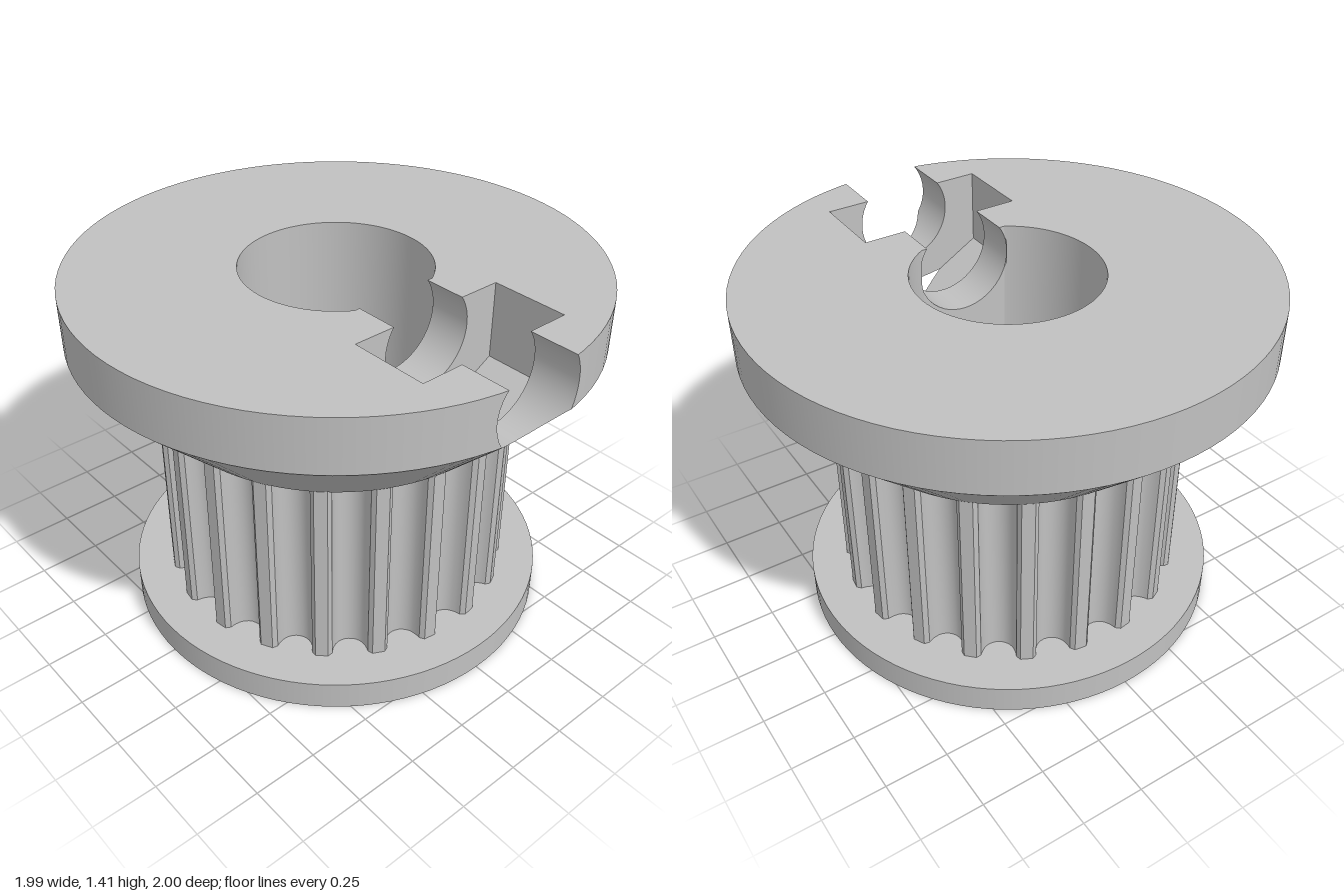
import * as THREE from 'three';
import { toCreasedNormals } from 'three/addons/utils/BufferGeometryUtils.js';

const SEG = 96, TOP = 1.41, RIM_Y = 1.2, HEAD_Y = 0.9, BASE_Y = 0.115;
const HEAD_R = 1, NECK_R = 0.695, TOOTH_R = 0.69, BASE_R = 0.835;
const BORE_R = 0.36, FLAT_X = 0.31, FLAT_A = Math.acos(FLAT_X / BORE_R);
const HOLE_R = 0.195, HOLE_Y = 1.3, HOLE_X = 0.305, HOLE_SEG = 48;
const NUT_X0 = 0.48, NUT_X1 = 0.79, NUT_FLAT = 0.33;

// Convex cutters as lists of planes [nx, ny, nz, d]; inside means n.p <= d
function prismPlanes(sides, apothem, x0, x1) {
  const planes = [[-1, 0, 0, -x0], [1, 0, 0, x1]];
  for (let i = 0; i < sides; i++) {
    const a = (i + (sides === 6 ? 0 : 0.5)) * 2 * Math.PI / sides;
    const ny = Math.sin(a), nz = Math.cos(a);
    planes.push([0, ny, nz, apothem + ny * HOLE_Y]);
  }
  return planes;
}
const channel = prismPlanes(HOLE_SEG, HOLE_R * Math.cos(Math.PI / HOLE_SEG), HOLE_X, 1.1);
const nut = prismPlanes(6, NUT_FLAT, NUT_X0, NUT_X1);

const headHull = [[0, 1, 0, TOP]];
for (let i = 0; i < SEG; i++) {
  const a = (i + 0.5) * 2 * Math.PI / SEG, k = Math.cos(Math.PI / SEG);
  const c = Math.cos(a), s = Math.sin(a);
  const rise = RIM_Y - HEAD_Y, run = HEAD_R - NECK_R;
  headHull.push([c, 0, s, HEAD_R * k]);
  headHull.push([c * rise / k, -run, s * rise / k, rise * HEAD_R - run * RIM_Y]);
}

// Split a polygon of [position, normal] corners by a plane
function split(poly, [a, b, c, d]) {
  const inside = [], outside = [];
  const dist = poly.map((v) => a * v[0] + b * v[1] + c * v[2] - d);
  poly.forEach((v, i) => {
    const j = (i + 1) % poly.length, di = dist[i], dj = dist[j];
    if (di <= 0) inside.push(v);
    if (di >= 0) outside.push(v);
    if (di * dj < 0) {
      const m = v.map((n, k) => n + (poly[j][k] - n) * di / (di - dj));
      inside.push(m);
      outside.push(m);
    }
  });
  return [inside, outside].map((p) => (p.length > 2 ? p : null));
}

function clip(polys, planes, keepInside) {
  const out = [];
  for (const poly of polys) {
    const pieces = [];
    let rest = poly;
    for (const plane of planes) {
      const [inner, outer] = split(rest, plane);
      if (outer && !(inner && dist0(outer, plane))) pieces.push(outer);
      rest = inner;
      if (!rest) break;
    }
    if (keepInside) {
      if (rest) out.push(rest);
    } else if (rest) out.push(...pieces);
    else out.push(poly);
  }
  return out;
}
// True when a piece merely touches the plane
function dist0(poly, [a, b, c, d]) {
  return poly.every((v) => Math.abs(a * v[0] + b * v[1] + c * v[2] - d) < 1e-9);
}

// Cut a surface: remove the cutters, keep what lies in the hull, optionally turn inside out
function carve(geometry, { remove = [], within = null, flip = false }) {
  const g = geometry.index ? geometry.toNonIndexed() : geometry;
  const p = g.attributes.position, n = g.attributes.normal, sign = flip ? -1 : 1;
  let polys = [];
  for (let i = 0; i < p.count; i += 3) {
    const tri = [0, 1, 2].map((k) => [p.getX(i + k), p.getY(i + k), p.getZ(i + k),
      sign * n.getX(i + k), sign * n.getY(i + k), sign * n.getZ(i + k)]);
    polys.push(flip ? tri.reverse() : tri);
  }
  if (within) polys = clip(polys, within, true);
  for (const cutter of remove) polys = clip(polys, cutter, false);
  const pos = [], nor = [];
  for (const poly of polys) {
    for (let i = 1; i < poly.length - 1; i++) {
      for (const v of [poly[0], poly[i], poly[i + 1]]) {
        pos.push(v[0], v[1], v[2]);
        nor.push(v[3], v[4], v[5]);
      }
    }
  }
  const result = new THREE.BufferGeometry();
  result.setAttribute('position', new THREE.Float32BufferAttribute(pos, 3));
  result.setAttribute('normal', new THREE.Float32BufferAttribute(nor, 3));
  result.normalizeNormals();
  return result;
}

// Flat ring with the D-shaped bore
function ring(radius, y, up) {
  const shape = new THREE.Shape().absarc(0, 0, radius, 0, 2 * Math.PI);
  const bore = new THREE.Path().absarc(0, 0, BORE_R, FLAT_A, 2 * Math.PI - FLAT_A);
  bore.closePath();
  shape.holes.push(bore);
  return new THREE.ShapeGeometry(shape, SEG / 2).rotateX(up ? -Math.PI / 2 : Math.PI / 2).translate(0, y, 0);
}

function band(rTop, rBottom, y0, y1) {
  return new THREE.CylinderGeometry(rTop, rBottom, y1 - y0, SEG, 1, true).translate(0, (y0 + y1) / 2, 0);
}

// Toothed drum: twenty rounded grooves, given as half-width and depth
function toothedDrum() {
  const half = [[0.084, 0], [0.0676, 0.015], [0.0654, 0.027], [0.062, 0.039], [0.057, 0.05],
    [0.051, 0.061], [0.0405, 0.072], [0.028, 0.08], [0.0144, 0.085]];
  const groove = [...half.map(([w, d]) => [-w, d]), [0, 0.0864], ...half.slice().reverse()];
  const points = [];
  for (let i = 0; i < 20; i++) {
    for (const [w, d] of groove) {
      const r = Math.sqrt(TOOTH_R ** 2 - 0.084 ** 2) - d;
      const rr = d === 0 ? TOOTH_R : Math.hypot(r, w);
      const a = i * Math.PI / 10 + Math.atan2(w, r);
      points.push(new THREE.Vector2(rr * Math.cos(a), rr * Math.sin(a)));
    }
  }
  const shape = new THREE.Shape(points);
  shape.holes.push(new THREE.Path().absarc(0, 0, 0.4, 0, 2 * Math.PI, true));
  const g = new THREE.ExtrudeGeometry(shape, { depth: HEAD_Y - BASE_Y, bevelEnabled: false, curveSegments: 24 });
  return toCreasedNormals(g.rotateX(-Math.PI / 2).translate(0, BASE_Y, 0), 0.5);
}

export function createModel() {
  const group = new THREE.Group();
  const metal = new THREE.MeshStandardMaterial({ color: 0xc0c0c0 });
  metal.name = 'grey metal';
  const add = (name, geometry) => {
    const mesh = new THREE.Mesh(geometry, metal);
    mesh.name = name;
    group.add(mesh);
  };
  const remove = [channel, nut];

  // Base flange
  add('baseUnderside', ring(BASE_R, 0, false));
  add('baseTop', ring(BASE_R, BASE_Y, true));
  add('baseEdge', band(BASE_R, BASE_R, 0, BASE_Y));

  add('toothedDrum', toothedDrum());

  // Head with its screw channel and nut pocket cut away
  add('headUnderside', ring(NECK_R, HEAD_Y, false));
  add('headCone', carve(band(HEAD_R, NECK_R, HEAD_Y, RIM_Y), { remove }));
  add('headRim', carve(band(HEAD_R, HEAD_R, RIM_Y, TOP), { remove }));
  add('headTop', carve(ring(HEAD_R, TOP, true), { remove }));

  // Bore: round wall plus one flat
  const boreWall = new THREE.CylinderGeometry(BORE_R, BORE_R, TOP, SEG, 1, true,
    Math.PI / 2 + FLAT_A, 2 * Math.PI - 2 * FLAT_A).translate(0, TOP / 2, 0);
  add('boreWall', carve(boreWall, { remove, flip: true }));
  const boreFlat = new THREE.PlaneGeometry(2 * BORE_R * Math.sin(FLAT_A), TOP)
    .rotateY(-Math.PI / 2).translate(FLAT_X, TOP / 2, 0);
  add('boreFlat', carve(boreFlat, { remove }));

  // Screw channel walls
  const channelWall = new THREE.CylinderGeometry(HOLE_R, HOLE_R, 1.1 - FLAT_X, HOLE_SEG, 1, true)
    .rotateZ(Math.PI / 2).translate((1.1 + FLAT_X) / 2, HOLE_Y, 0);
  add('screwChannel', carve(channelWall, { remove: [nut], within: headHull, flip: true }));

  // Hexagonal nut pocket, corner down
  const nutR = NUT_FLAT / Math.cos(Math.PI / 6);
  const pocket = new THREE.CylinderGeometry(nutR, nutR, NUT_X1 - NUT_X0, 6, 1, false, Math.PI / 6)
    .rotateZ(Math.PI / 2).translate((NUT_X0 + NUT_X1) / 2, HOLE_Y, 0).toNonIndexed();
  pocket.computeVertexNormals();
  add('nutPocket', carve(pocket, { remove: [channel], within: headHull, flip: true }));
  return group;
}
